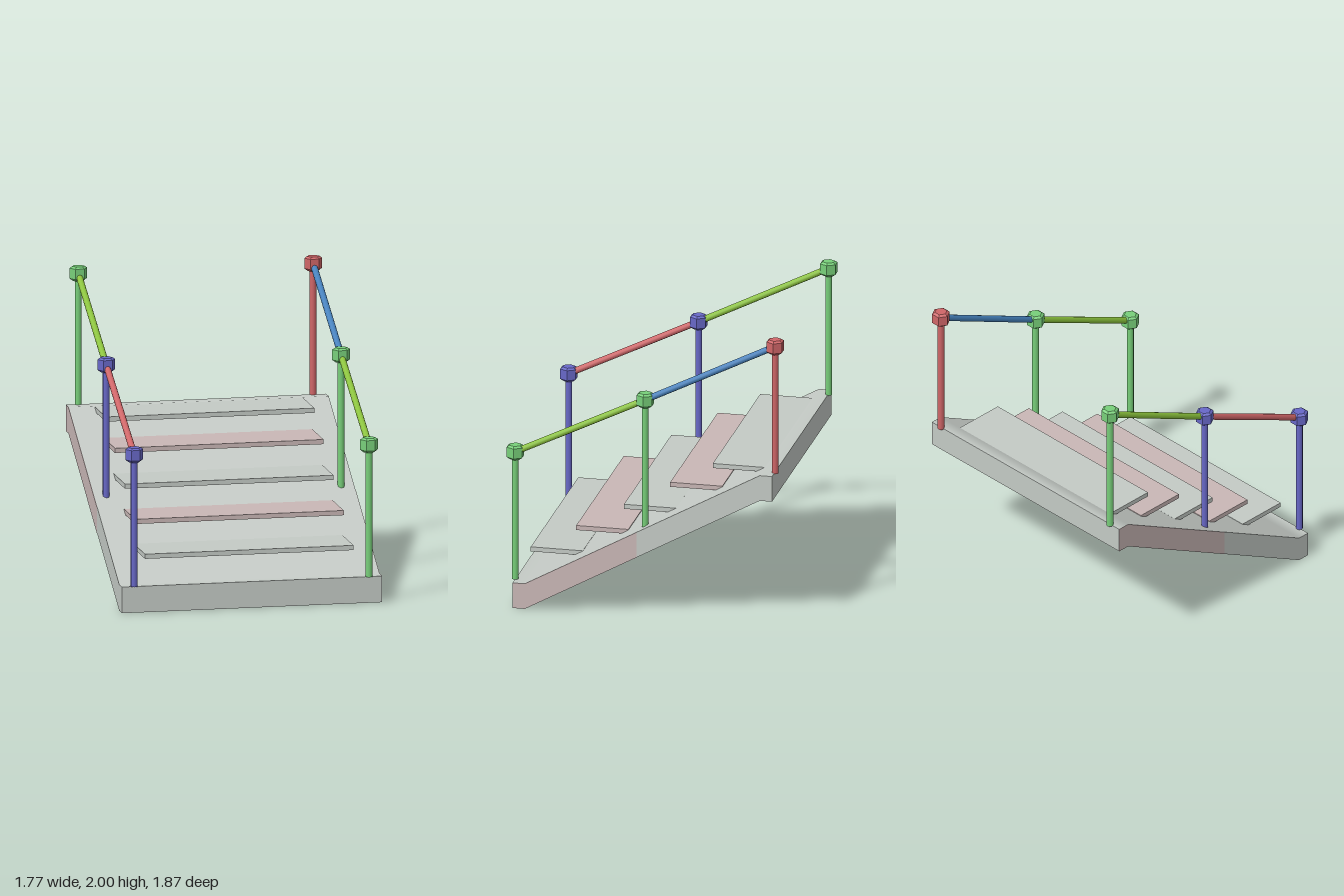
import * as THREE from 'three';

const mat = (name, color) => new THREE.MeshStandardMaterial({ name, color });
const HALF = 0.883; // half width and half length of the ramp
const END = 0.8;    // z where the slope meets the level ends

// Side profile given as (z, y) points, extruded across x and centred on x.
function extrudeProfile(points, width, x = 0) {
  const shape = new THREE.Shape(points.map(([z, y]) => new THREE.Vector2(z, y)));
  const g = new THREE.ExtrudeGeometry(shape, { depth: width, bevelEnabled: false });
  g.translate(0, 0, -width / 2);
  g.rotateY(-Math.PI / 2);
  g.translate(x, 0, 0);
  return g;
}

// Level end strips blend softly into the slope.
function softenEnds(g) {
  const p = g.attributes.position, n = g.attributes.normal;
  const s = new THREE.Vector3(0, 1.6, 0.887).normalize();
  for (let i = 0; i < p.count; i++) {
    if (Math.abs(n.getX(i)) > 0.5 || Math.abs(Math.abs(p.getZ(i)) - END) > 0.01) continue;
    const k = Math.sign(n.getY(i));
    n.setXYZ(i, 0, s.y * k, s.z * k);
  }
  return g;
}

function rod(a, b, radius) {
  const dir = new THREE.Vector3().subVectors(b, a);
  const g = new THREE.CylinderGeometry(radius, radius, dir.length(), 10);
  g.applyQuaternion(new THREE.Quaternion().setFromUnitVectors(
    new THREE.Vector3(0, 1, 0), dir.normalize()));
  const c = a.clone().add(b).multiplyScalar(0.5);
  return g.translate(c.x, c.y, c.z);
}

// Six-sided post cap with bevelled top and bottom.
function knobGeometry() {
  const profile = [[0, -0.05], [0.035, -0.05], [0.06, -0.032], [0.06, 0.038], [0.042, 0.05], [0, 0.05]]
    .map(([r, y]) => new THREE.Vector2(r, y));
  const g = new THREE.LatheGeometry(profile, 6, Math.PI / 2).toNonIndexed();
  g.computeVertexNormals();
  return g;
}

export function createModel() {
  const model = new THREE.Group();
  model.name = 'stairRamp';
  const grey = mat('paleGrey', 0xc4cac5);
  const pink = mat('dustyPink', 0xc9b7b6);
  const green = mat('green', 0x78d07a);
  const red = mat('red', 0xd06668);
  const violet = mat('violet', 0x6868c8);
  const lime = mat('lime', 0x8cc43c);
  const blue = mat('blue', 0x4682be);

  const add = (name, geometry, material, parent = model) => {
    const m = new THREE.Mesh(geometry, material);
    m.name = name;
    parent.add(m);
    return m;
  };

  // Sloping slab
  add('ramp', softenEnds(extrudeProfile([
    [HALF, 0], [HALF, 0.177], [END, 0.177], [-END, 1.064],
    [-HALF, 1.064], [-HALF, 0.887], [-END, 0.887], [END, 0],
  ], HALF * 2)), grey);

  // Pink side panels: front half on the left, rear half on the right
  const slope = (z) => (END - z) * 0.5544;
  const zl = 0.04, zr = 0.1;
  add('leftPanel', extrudeProfile([
    [HALF, 0], [HALF, 0.177], [END, 0.177], [zl, slope(zl) + 0.177], [zl, slope(zl)], [END, 0],
  ], 0.003, HALF + 0.0005), pink);
  add('rightPanel', extrudeProfile([
    [zr, slope(zr)], [zr, slope(zr) + 0.177], [-END, 1.064], [-HALF, 1.064], [-HALF, 0.887], [-END, 0.887],
  ], 0.003, -HALF - 0.0005), pink);

  // Treads running back into the slope
  const treads = [[0.8, 0.36], [0.49, 0.535], [0.165, 0.71], [-0.15, 0.89], [-0.44, 1.045]];
  treads.forEach(([front, y], i) => {
    const g = new THREE.BoxGeometry(1.416, 0.032, 0.355);
    add('tread' + (i + 1), g, i % 2 ? pink : grey).position.set(0, y, front - 0.1775);
  });

  // Handrails: posts and knobs share colours, listed front to back
  const sides = [
    { name: 'leftRailing', x: 0.795, posts: [green, green, red], rails: [lime, blue] },
    { name: 'rightRailing', x: -0.8, posts: [violet, violet, green], rails: [red, lime] },
  ];
  const zs = [0.885, 0, -0.885];
  const feet = [0.177, 0.6, 1.06];
  const tops = [1.07, 1.505, 1.95];
  const knob = knobGeometry();
  for (const { name, x, posts, rails } of sides) {
    const railing = new THREE.Group();
    railing.name = name;
    model.add(railing);
    const top = zs.map((z, i) => new THREE.Vector3(x, tops[i], z));
    posts.forEach((m, i) => {
      add('post', rod(new THREE.Vector3(x, feet[i], zs[i]), top[i], 0.023), m, railing);
      add('knob', knob, m, railing).position.copy(top[i]);
    });
    rails.forEach((m, i) => add('handrail', rod(top[i], top[i + 1], 0.022), m, railing));
  }
  return model;
}
